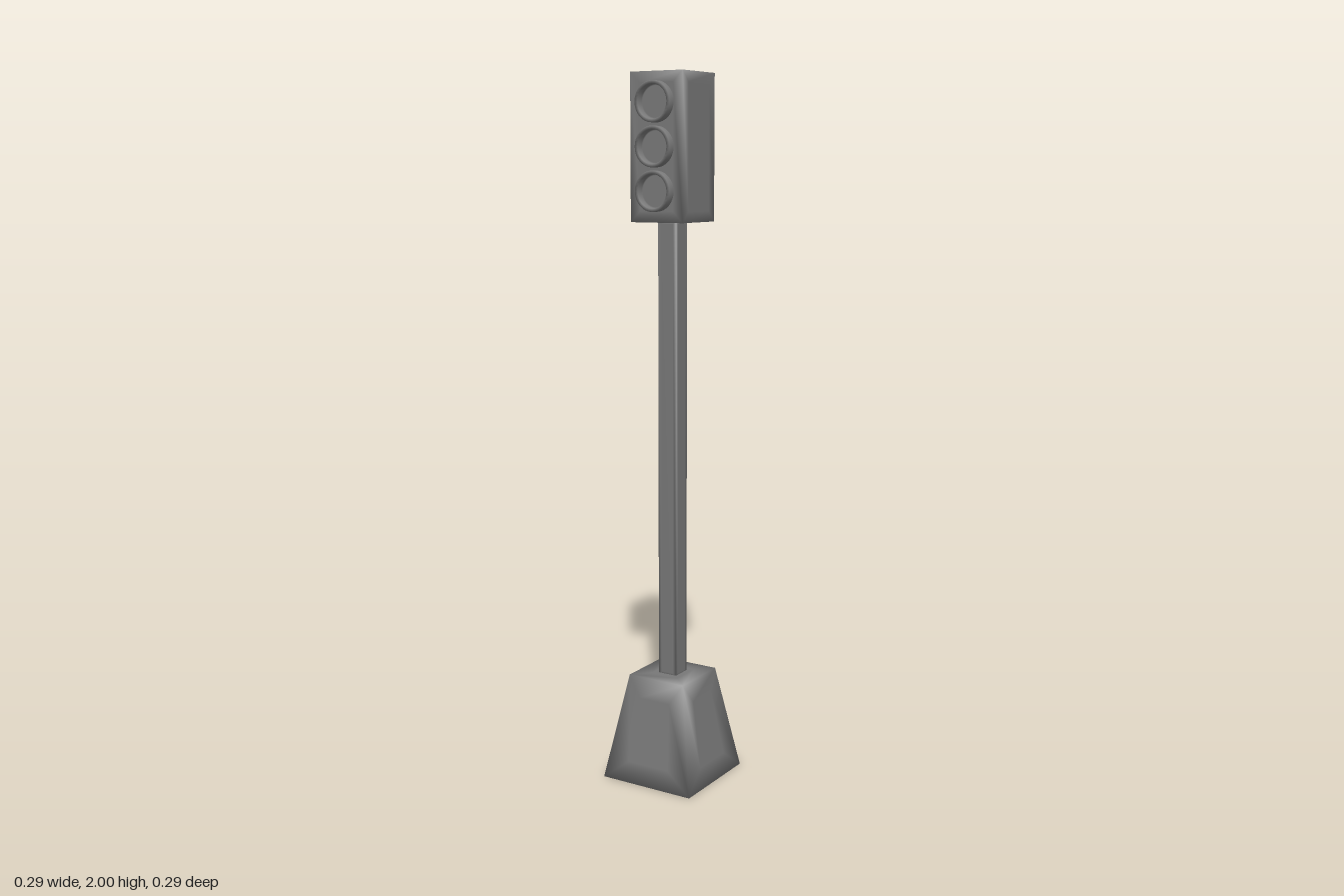
import * as THREE from 'three';

const material = new THREE.MeshStandardMaterial({ color: 0x787878 });

// Square column from y0 to y1 tapering between two half-widths.
// Every face has an inset panel that stays flat, and a border that shades softly towards the corners.
function column(name, y0, y1, bottom, top, inset) {
  const height = y1 - y0;
  const shrink = new THREE.Vector3(
    1 - (2 * inset) / (bottom + top), 1 - (2 * inset) / height, 1 - (2 * inset) / (bottom + top)
  );
  const unit = new THREE.BoxGeometry(2, 2, 2);
  const positions = [], normals = [], index = [];

  const addVertex = (u, normal) => {
    const t = (u.y + 1) / 2;
    const half = THREE.MathUtils.lerp(bottom, top, t);
    positions.push(u.x * half, y0 + t * height, u.z * half);
    normals.push(...normal.clone().normalize().toArray());
  };

  for (let face = 0; face < 6; face++) {
    const axis = Math.floor(face / 2);
    const flat = new THREE.Vector3().fromBufferAttribute(unit.attributes.normal, face * 4);
    if (axis !== 1) flat.y = (bottom - top) / height;
    const first = face * 8;
    // Corners run anticlockwise, each followed by its inset partner
    [0, 2, 3, 1].forEach((corner, i) => {
      const outer = new THREE.Vector3().fromBufferAttribute(unit.attributes.position, face * 4 + corner);
      const inner = outer.clone().multiply(shrink);
      inner.setComponent(axis, outer.getComponent(axis));
      addVertex(outer, outer);
      addVertex(inner, flat);
      const a = first + i * 2, b = first + ((i + 1) % 4) * 2;
      index.push(a, b, b + 1, a, b + 1, a + 1);
    });
    index.push(first + 1, first + 3, first + 5, first + 1, first + 5, first + 7);
  }

  const geometry = new THREE.BufferGeometry();
  geometry.setAttribute('position', new THREE.Float32BufferAttribute(positions, 3));
  geometry.setAttribute('normal', new THREE.Float32BufferAttribute(normals, 3));
  geometry.setIndex(index);
  const mesh = new THREE.Mesh(geometry, material);
  mesh.name = name;
  return mesh;
}

export function createModel() {
  const model = new THREE.Group();
  model.name = 'trafficLight';

  model.add(
    column('base', 0, 0.305, 0.145, 0.09, 0.06),
    column('pole', 0.3, 1.605, 0.029, 0.029, 0.01),
    column('lampHousing', 1.6, 2, 0.083, 0.083, 0.03)
  );

  // Three round lamps: a soft raised rim around a recessed flat lens
  const profile = [
    [0.055, 0], [0.055, 0.024], [0.046, 0.024], [0.046, 0.004], [0.042, 0.004], [0, 0.004]
  ].map(([r, d]) => new THREE.Vector2(r, d));
  const lamp = new THREE.LatheGeometry(profile, 32);
  lamp.rotateX(Math.PI / 2);
  ['topLamp', 'middleLamp', 'bottomLamp'].forEach((name, i) => {
    const mesh = new THREE.Mesh(lamp, material);
    mesh.name = name;
    mesh.position.set(0, 1.92 - i * 0.118, 0.081);
    model.add(mesh);
  });

  return model;
}
